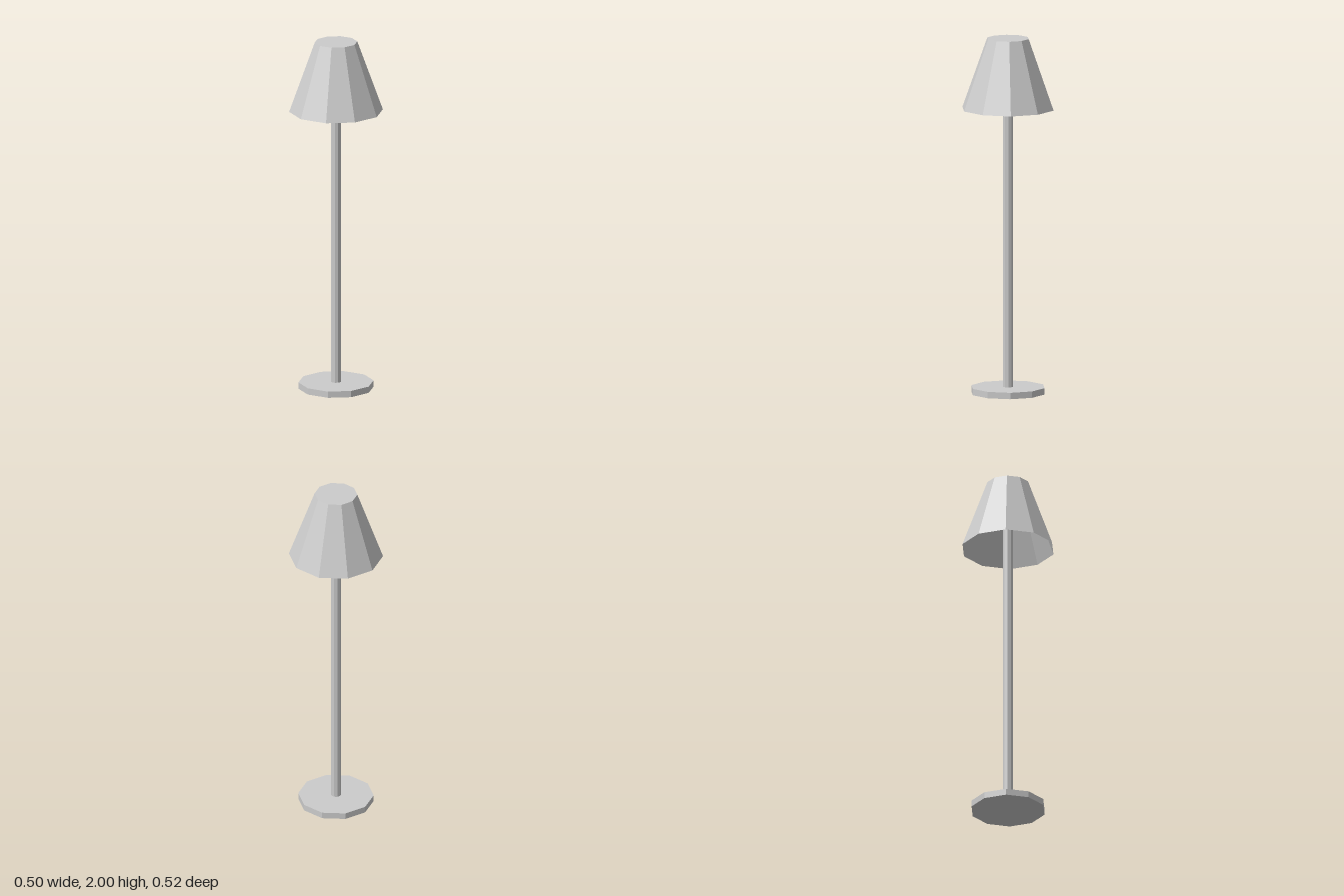
import * as THREE from 'three';

const SIDES = 10;

export function createModel() {
  const lamp = new THREE.Group();
  lamp.name = 'floorLamp';

  const solid = new THREE.MeshStandardMaterial({ color: 0xcccccc, flatShading: true });
  const thin = new THREE.MeshStandardMaterial({ color: 0xcccccc, flatShading: true, side: THREE.DoubleSide });

  const add = (name, geometry, material, y) => {
    const mesh = new THREE.Mesh(geometry, material);
    mesh.name = name;
    mesh.position.y = y;
    lamp.add(mesh);
    return mesh;
  };
  // Ten-sided prism or frustum standing between two heights
  const column = (name, rTop, rBottom, y0, y1, material, open = false) =>
    add(name, new THREE.CylinderGeometry(rTop, rBottom, y1 - y0, SIDES, 1, open), material, (y0 + y1) / 2);

  // Foot plate and pole
  column('base', 0.21, 0.21, 0, 0.036, solid);
  column('pole', 0.029, 0.029, 0.036, 1.998, solid);

  // Shade: thin wall open below, closed by a flat lid
  column('shade', 0.119, 0.262, 1.603, 2, thin, true);
  const lid = new THREE.CylinderGeometry(0, 0.119, 0, SIDES, 1, true);
  add('shadeTop', lid, thin, 2);

  return lamp;
}
